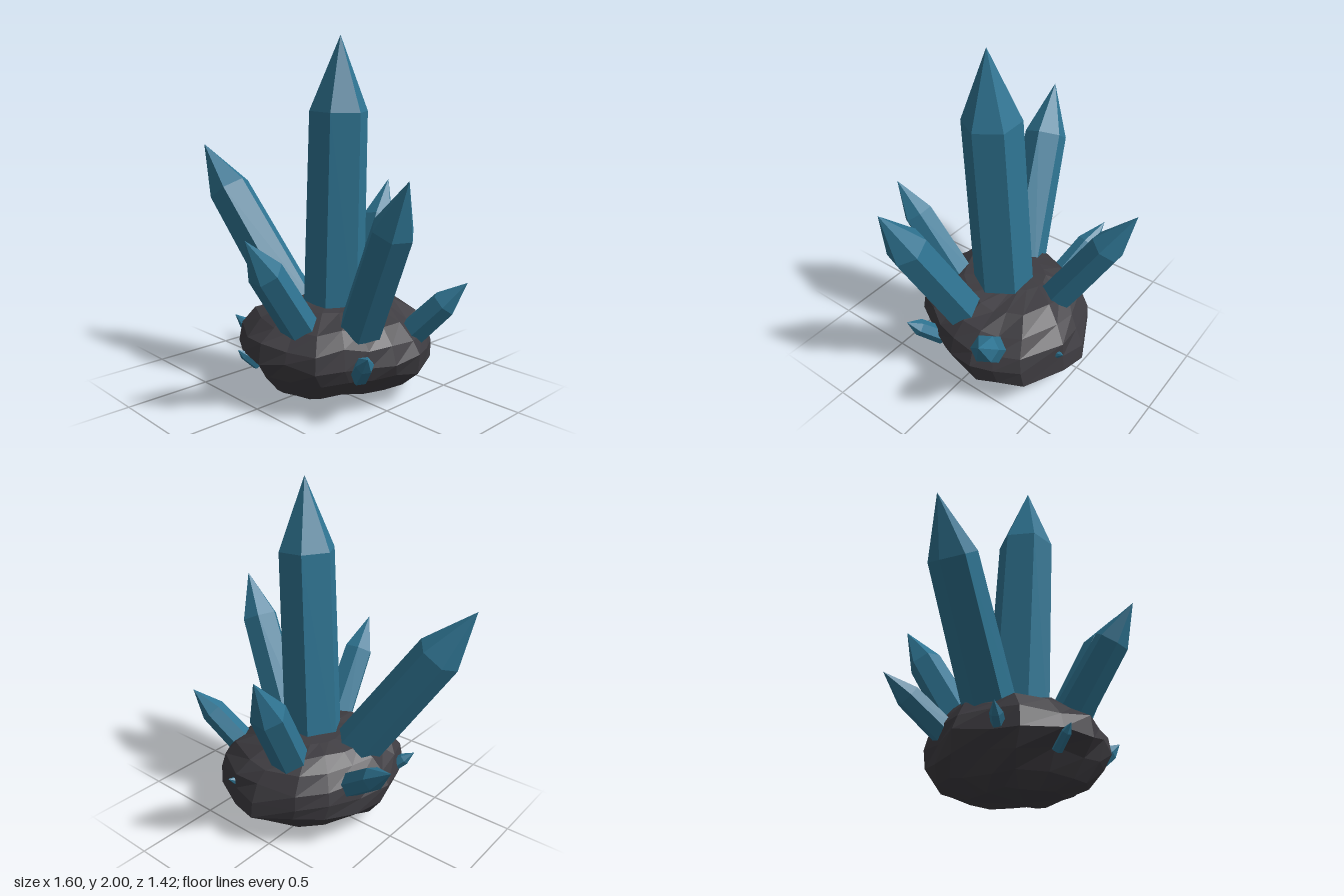
import * as THREE from 'three';

const crystalMaterial = new THREE.MeshStandardMaterial({ color: 0x2f7593, flatShading: true });
crystalMaterial.name = 'blueCrystal';
const rockMaterial = new THREE.MeshStandardMaterial({ color: 0x3e3c41, flatShading: true });
rockMaterial.name = 'darkRock';

// Six-sided shaft with a slight taper and a pointed end
function crystal(name, base, tip, radius, shoulder, spin = 0, root = 0.08) {
  const start = new THREE.Vector3(...base);
  const axis = new THREE.Vector3(...tip).sub(start);
  const length = axis.length();
  axis.normalize();
  const profile = [
    new THREE.Vector2(0, -root),
    new THREE.Vector2(radius * 1.1, -root),
    new THREE.Vector2(radius, length * shoulder),
    new THREE.Vector2(0, length),
  ];
  const geometry = new THREE.LatheGeometry(profile, 6, Math.PI / 2 + spin);
  const mesh = new THREE.Mesh(geometry, crystalMaterial);
  mesh.name = name;
  mesh.position.copy(start);
  mesh.quaternion.setFromUnitVectors(new THREE.Vector3(0, 1, 0), axis);
  return mesh;
}

// Faceted boulder built from stacked, slightly irregular rings
function rock() {
  // Plan outline of the widest ring, as x, z about its centre
  const outline = [
    [0.51, -0.14], [0.49, 0.02], [0.44, 0.16], [0.39, 0.29], [0.3, 0.42], [0.14, 0.5],
    [-0.02, 0.53], [-0.2, 0.48], [-0.39, 0.38], [-0.45, 0.25], [-0.5, 0.05], [-0.45, -0.12],
    [-0.37, -0.31], [-0.24, -0.45], [-0.01, -0.54], [0.15, -0.53], [0.4, -0.41], [0.48, -0.27],
  ];
  // Each ring: height, scale, centre x, centre z
  const rings = [
    [0.0, 0, -0.02, 0.13], [0.04, 0.48, 0.01, 0.05], [0.11, 0.8, 0.065, -0.03],
    [0.2, 0.95, 0.075, -0.04], [0.29, 1, 0.07, -0.01], [0.38, 0.95, 0.07, -0.01],
    [0.46, 0.81, 0.05, -0.02], [0.52, 0.6, 0.03, -0.04], [0.55, 0.28, 0.0, -0.08],
    [0.555, 0, -0.01, -0.08],
  ];
  const n = outline.length;
  const noise = (i, j) => {
    const s = Math.sin(i * 127.1 + j * 311.7) * 43758.5453;
    return (s - Math.floor(s)) * 2 - 1;
  };
  const positions = [];
  rings.forEach(([y, scale, cx, cz], i) => {
    outline.forEach(([x, z], j) => {
      const s = scale * (1 + 0.035 * noise(i, j));
      const lift = scale > 0.3 ? 0.018 * noise(i + 20, j) : 0;
      positions.push(cx + x * s, y + lift, cz + z * s);
    });
  });
  const index = [];
  for (let i = 0; i < rings.length - 1; i++) {
    for (let j = 0; j < n; j++) {
      const a = i * n + j, b = i * n + (j + 1) % n, c = a + n, d = b + n;
      if (i > 0) index.push(a, c, b);
      if (i < rings.length - 2) index.push(b, c, d);
      else continue;
    }
  }
  const geometry = new THREE.BufferGeometry();
  geometry.setAttribute('position', new THREE.Float32BufferAttribute(positions, 3));
  geometry.setIndex(index);
  geometry.computeVertexNormals();
  const mesh = new THREE.Mesh(geometry, rockMaterial);
  mesh.name = 'rockBase';
  return mesh;
}

export function createModel() {
  const group = new THREE.Group();
  group.name = 'crystalCluster';
  group.add(
    rock(),
    // Large crystals
    crystal('centreCrystal', [0.08, 0.45, -0.005], [0.16, 2.0, 0.03], 0.163, 0.745),
    crystal('rightLargeCrystal', [-0.2, 0.47, 0.06], [-0.8, 1.39, 0.26], 0.13, 0.71, 0.2),
    crystal('leftLargeCrystal', [0.37, 0.45, 0.08], [0.8, 1.3, 0.21], 0.115, 0.7, 0.2),
    crystal('frontCrystal', [0.15, 0.45, 0.31], [0.2, 1.0, 0.71], 0.094, 0.66),
    crystal('backCrystal', [-0.02, 0.48, -0.32], [-0.15, 1.15, -0.715], 0.1, 0.65),
    // Medium crystals
    crystal('leftMediumCrystal', [0.47, 0.38, -0.225], [0.745, 0.7, -0.355], 0.077, 0.6),
    crystal('rightMediumCrystal', [-0.33, 0.37, -0.16], [-0.655, 0.62, -0.255], 0.068, 0.58),
    // Small shards around the rim
    crystal('leftShard', [0.48, 0.26, 0.19], [0.625, 0.405, 0.29], 0.048, 0.62, 0, 0.04),
    crystal('backShard', [0.22, 0.29, -0.44], [0.255, 0.36, -0.555], 0.038, 0.35, 0, 0.04),
    crystal('rightShard', [-0.35, 0.31, 0.26], [-0.44, 0.395, 0.315], 0.035, 0.45, 0, 0.04),
    crystal('frontShard', [-0.11, 0.23, 0.44], [-0.13, 0.31, 0.525], 0.027, 0.55, 0, 0.04),
  );
  return group;
}
